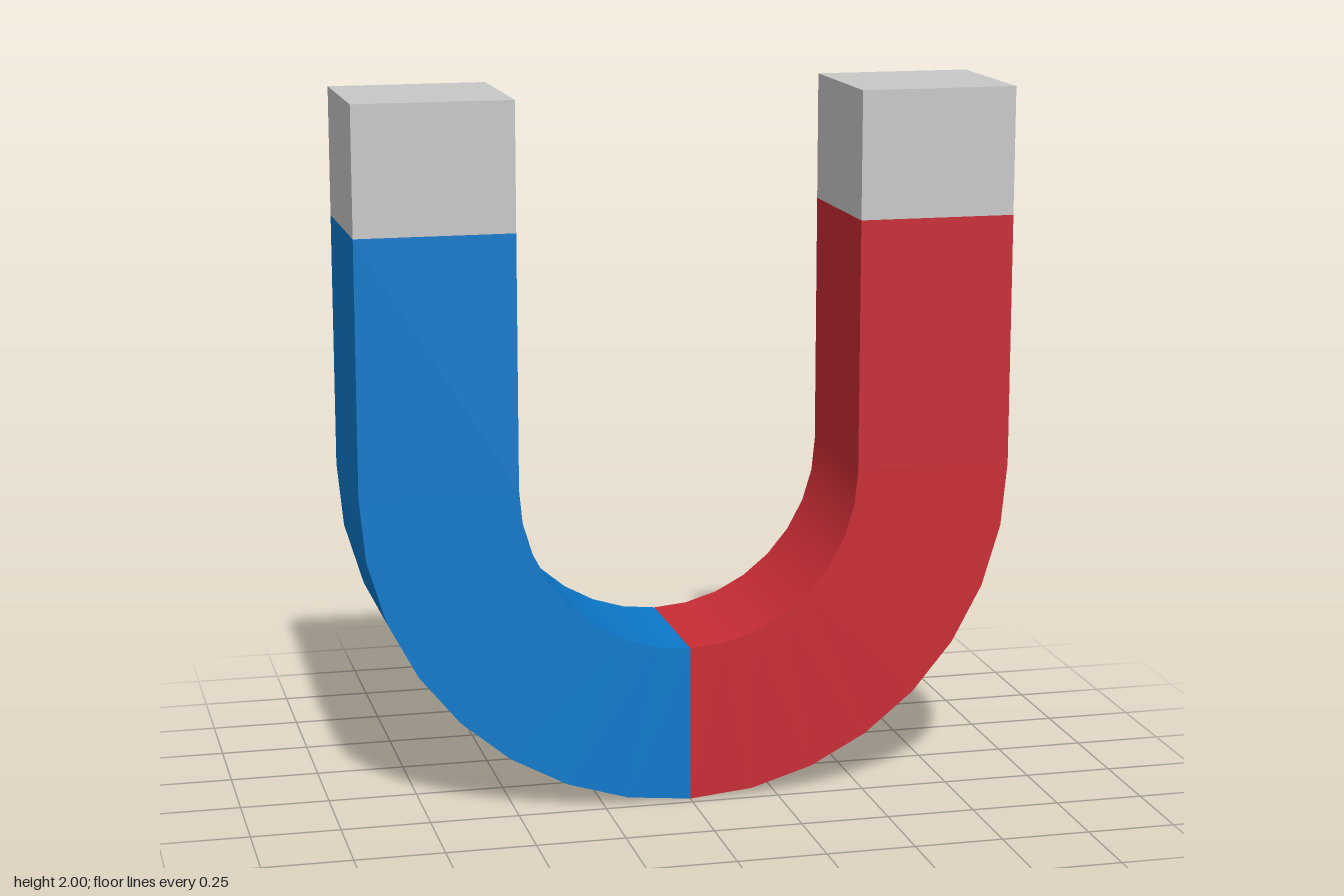
import * as THREE from 'three';

const OUTER = 0.928, INNER = 0.485, HALF_DEPTH = 0.221;
const PAINT_TOP = 1.64, TOP = 2, ARC_STEPS = 8;

// Sweep the rectangular section along stations { angle, y }, ordered counter-clockwise.
function sweepBar(stations) {
  const h = HALF_DEPTH;
  const corners = [[OUTER, -h], [OUTER, h], [INNER, h], [INNER, -h]];
  // Normal of each side as [radial, z]: outer, front, inner, back
  const sideNormals = [[1, 0], [0, 1], [-1, 0], [0, -1]];
  const positions = [], normals = [], indices = [];

  sideNormals.forEach(([radial, nz], side) => {
    const start = positions.length / 3;
    stations.forEach(({ angle, y }, i) => {
      const dx = Math.cos(angle), dy = Math.sin(angle);
      for (const [radius, z] of [corners[side], corners[(side + 1) % 4]]) {
        positions.push(radius * dx, y + radius * dy, z);
        normals.push(radial * dx, radial * dy, nz);
      }
      if (i > 0) {
        const a = start + (i - 1) * 2; // a, a+1: previous station; a+2, a+3: this one
        indices.push(a, a + 2, a + 3, a, a + 3, a + 1);
      }
    });
  });

  const geometry = new THREE.BufferGeometry();
  geometry.setAttribute('position', new THREE.Float32BufferAttribute(positions, 3));
  geometry.setAttribute('normal', new THREE.Float32BufferAttribute(normals, 3));
  geometry.setIndex(indices);
  return geometry;
}

export function createModel() {
  const red = new THREE.MeshStandardMaterial({ color: 0xc92c35 });
  red.name = 'red paint';
  const blue = new THREE.MeshStandardMaterial({ color: 0x0c79cb });
  blue.name = 'blue paint';
  const steel = new THREE.MeshStandardMaterial({ color: 0xc8c8c8 });
  steel.name = 'bare steel';

  const magnet = new THREE.Group();
  magnet.name = 'horseshoeMagnet';

  const add = (name, geometry, material) => {
    const mesh = new THREE.Mesh(geometry, material);
    mesh.name = name;
    magnet.add(mesh);
    return mesh;
  };

  // Quarter bend from a starting angle
  const bend = (from) => Array.from({ length: ARC_STEPS + 1 }, (_, i) => ({
    angle: from + (i / ARC_STEPS) * Math.PI / 2, y: OUTER,
  }));

  // Painted halves: a quarter bend plus a straight arm each
  add('leftArm', sweepBar([...bend(-Math.PI / 2), { angle: 0, y: PAINT_TOP }]), red);
  add('rightArm', sweepBar([{ angle: Math.PI, y: PAINT_TOP }, ...bend(Math.PI)]), blue);

  // Steel pole tips
  const tip = new THREE.BoxGeometry(OUTER - INNER, TOP - PAINT_TOP, HALF_DEPTH * 2);
  for (const side of [1, -1]) {
    add(side > 0 ? 'leftPoleTip' : 'rightPoleTip', tip, steel)
      .position.set(side * (OUTER + INNER) / 2, (TOP + PAINT_TOP) / 2, 0);
  }

  return magnet;
}
